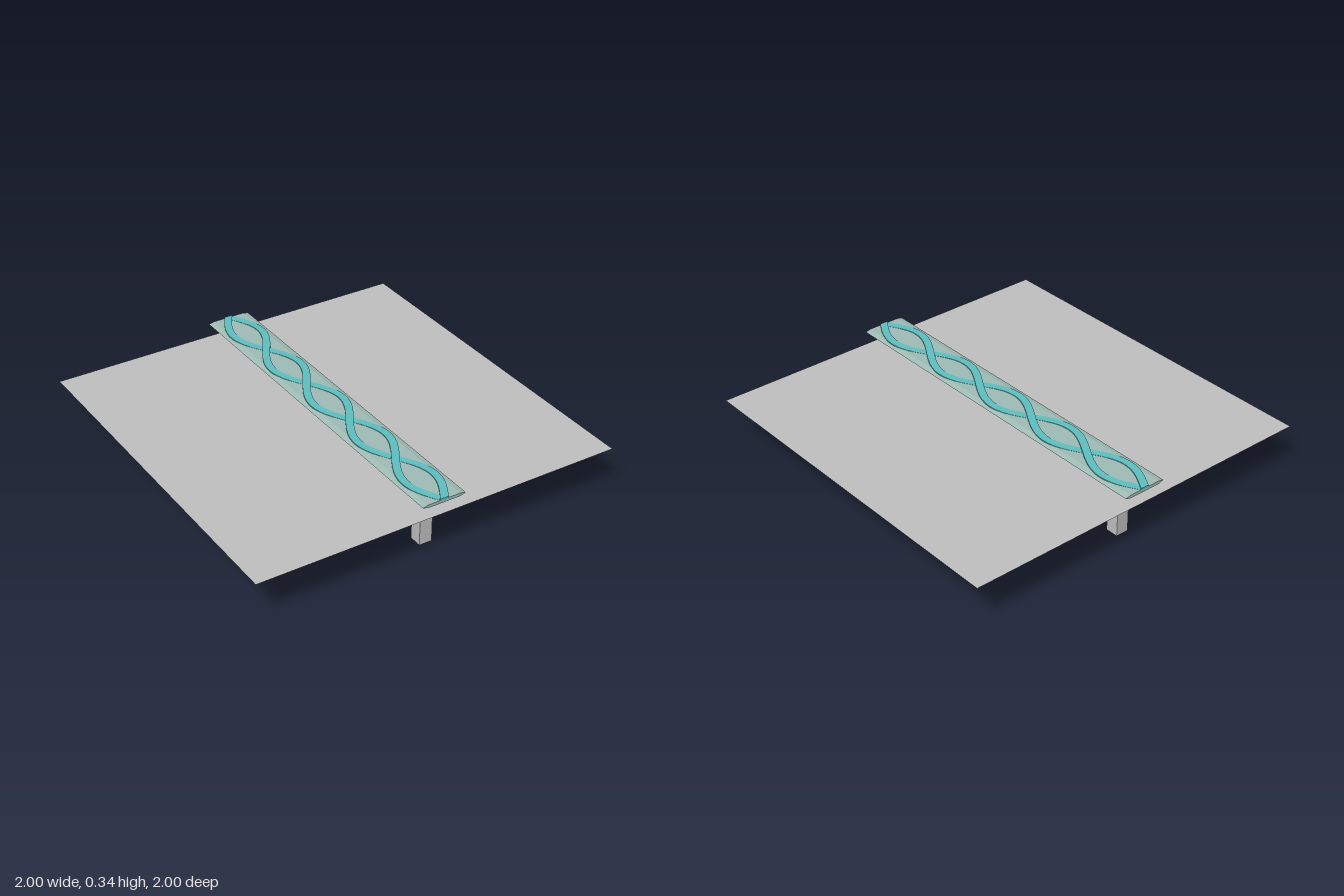
import * as THREE from 'three';

const concrete = new THREE.MeshStandardMaterial({ name: 'concrete grey', color: 0xc0c0c0 });
const water = new THREE.MeshStandardMaterial({ name: 'surface grey', color: 0xc0c0c0, side: THREE.DoubleSide });
const deckMat = new THREE.MeshStandardMaterial({ name: 'pale sea green', color: 0xa0bdb6 });
const strandMat = new THREE.MeshStandardMaterial({ name: 'teal', color: 0x5fbfc0 });

function add(parent, name, geometry, material, x = 0, y = 0, z = 0) {
  const mesh = new THREE.Mesh(geometry, material);
  mesh.name = name;
  mesh.position.set(x, y, z);
  parent.add(mesh);
  return mesh;
}

// Box whose bottom corners are pulled in to form a flared pier head
function flaredHead(topX, topZ, bottom, height) {
  const g = new THREE.BoxGeometry(topX, height, topZ).toNonIndexed();
  const p = g.attributes.position;
  for (let i = 0; i < p.count; i++) {
    if (p.getY(i) < 0) {
      p.setX(i, Math.sign(p.getX(i)) * bottom / 2);
      p.setZ(i, Math.sign(p.getZ(i)) * bottom / 2);
    }
  }
  g.computeVertexNormals();
  return g;
}

// Wavy band along the deck that passes over and under its mirror twin
function strandGeometry(side) {
  const g = new THREE.BoxGeometry(1, 1, 2, 1, 1, 120);
  const p = g.attributes.position;
  const k = Math.PI * 2 / 0.8, amplitude = 0.079, width = 0.04;
  for (let i = 0; i < p.count; i++) {
    const z = p.getZ(i);
    const wave = Math.sin(k * z);
    const stretch = Math.hypot(1, amplitude * k * wave);
    p.setX(i, side * amplitude * Math.cos(k * z) + p.getX(i) * width * stretch);
    p.setY(i, p.getY(i) > 0 ? 0.338 + side * 0.003 * wave : 0.33);
  }
  g.computeVertexNormals();
  return g;
}

export function createModel() {
  const model = new THREE.Group();
  model.name = 'bridge';

  // Flat surface that the piers pass through
  add(model, 'surface', new THREE.PlaneGeometry(2, 2).rotateX(-Math.PI / 2), water, 0, 0.255, 0);

  // Three piers: column, flared head and bearing plate
  for (const z of [-0.83, 0, 0.83]) {
    const pier = new THREE.Group();
    pier.name = 'pier';
    pier.position.z = z;
    add(pier, 'column', new THREE.BoxGeometry(0.07, 0.25, 0.07), concrete, 0, 0.125, 0);
    add(pier, 'pierHead', flaredHead(0.145, 0.3, 0.07, 0.05), concrete, 0, 0.275, 0);
    add(pier, 'bearingPlate', new THREE.BoxGeometry(0.145, 0.018, 0.3), concrete, 0, 0.309, 0);
    model.add(pier);
  }

  // Deck with sharp bevelled edges
  const section = new THREE.Shape([
    [-0.09, 0.317], [0.09, 0.317], [0.12, 0.327], [0.09, 0.334], [-0.09, 0.334], [-0.12, 0.327],
  ].map(([x, y]) => new THREE.Vector2(x, y)));
  add(model, 'deck', new THREE.ExtrudeGeometry(section, { depth: 2, bevelEnabled: false }), deckMat, 0, 0, -1);

  // Two interwoven strands
  for (const side of [-1, 1]) add(model, 'strand', strandGeometry(side), strandMat);

  return model;
}
